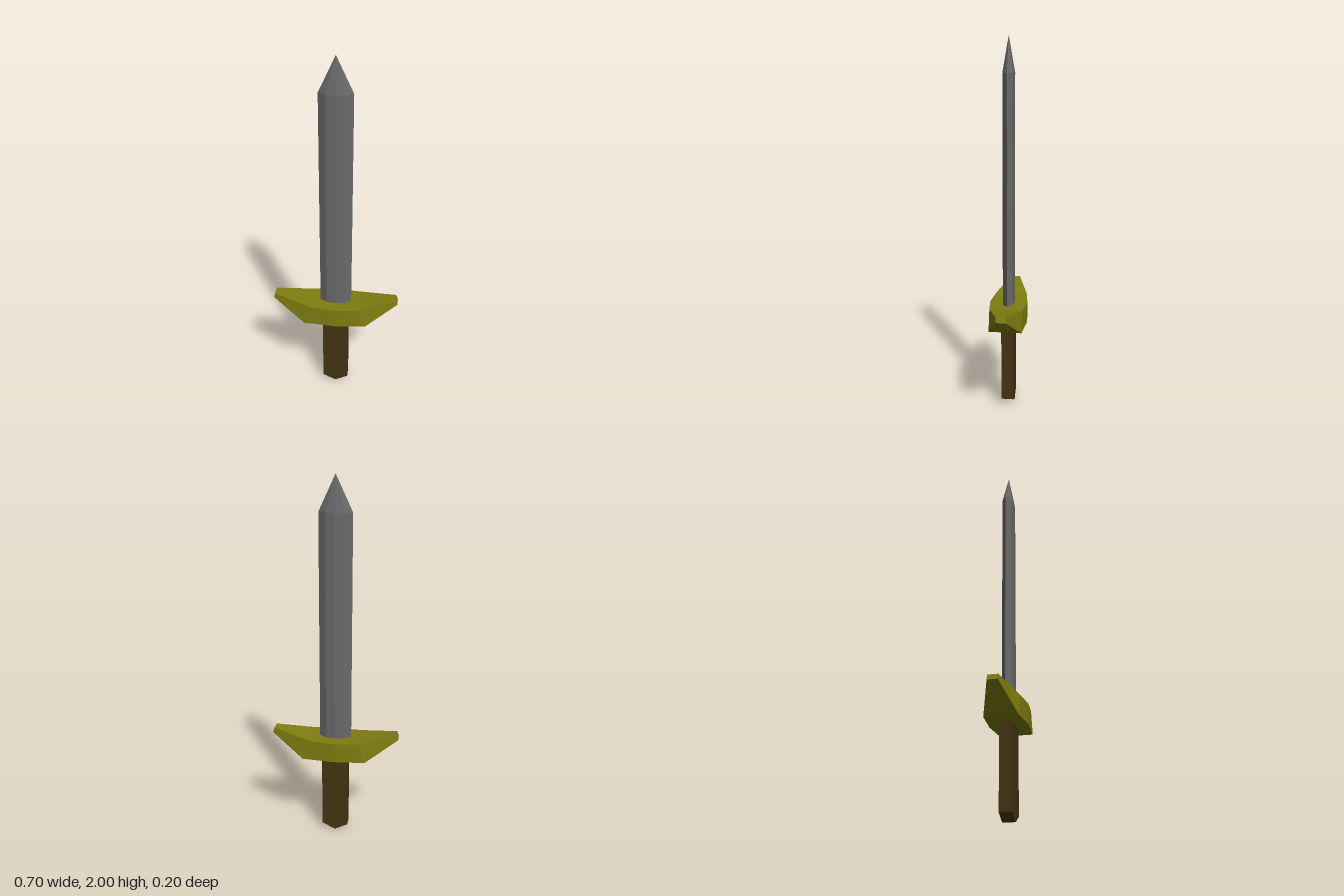
import * as THREE from 'three';

const steel = new THREE.MeshStandardMaterial({ name: 'steel', color: 0x6a6a6a, flatShading: true });
const brass = new THREE.MeshStandardMaterial({ name: 'brass', color: 0x7f7d10, flatShading: true });
const wood = new THREE.MeshStandardMaterial({ name: 'wood', color: 0x443312, flatShading: true });

// Joins rings of points (counter-clockwise about the loft direction) with flat faces and end caps
function loft(rings) {
  const pos = [];
  const tri = (a, b, c) => {
    const area = new THREE.Triangle(a, b, c).getArea();
    if (area > 1e-9) for (const p of [a, b, c]) pos.push(p.x, p.y, p.z);
  };
  const n = rings[0].length;
  for (let s = 0; s < rings.length - 1; s++) {
    for (let i = 0; i < n; i++) {
      const j = (i + 1) % n;
      const [a, b, c, d] = [rings[s][i], rings[s][j], rings[s + 1][j], rings[s + 1][i]];
      tri(a, b, c);
      tri(a, c, d);
    }
  }
  const first = rings[0], last = rings[rings.length - 1];
  for (let i = 1; i < n - 1; i++) {
    tri(first[0], first[i + 1], first[i]);
    tri(last[0], last[i], last[i + 1]);
  }
  const geo = new THREE.BufferGeometry();
  geo.setAttribute('position', new THREE.Float32BufferAttribute(pos, 3));
  geo.computeVertexNormals();
  return geo;
}

function addPart(group, name, geometry, material) {
  const mesh = new THREE.Mesh(geometry, material);
  mesh.name = name;
  group.add(mesh);
}

export function createModel() {
  const group = new THREE.Group();
  group.name = 'sword';

  // Blade: eight-sided lens section, tapering to a point
  const lens = [
    [0.087, 0], [0.05, -0.026], [0, -0.033], [-0.05, -0.026],
    [-0.087, 0], [-0.05, 0.026], [0, 0.033], [0.05, 0.026],
  ];
  const bladeRing = (y, scale) => lens.map(([x, z]) => new THREE.Vector3(x * scale, y, z * scale));
  addPart(group, 'blade', loft([bladeRing(0.56, 1), bladeRing(1.815, 1), bladeRing(2, 0)]), steel);

  // Crossguard: mirrored sections along x [bottom x, bottom y, top x, top y, bottom z, top z]
  const half = [
    [0, 0.475, 0, 0.585, 0.102, 0.102],
    [0.172, 0.475, 0.13, 0.587, 0.088, 0.089],
    [0.349, 0.597, 0.34, 0.625, 0.027, 0.027],
  ];
  const guardRing = ([bx, by, tx, ty, bz, tz], side) => [
    new THREE.Vector3(side * bx, by, -bz), new THREE.Vector3(side * tx, ty, -tz),
    new THREE.Vector3(side * tx, ty, tz), new THREE.Vector3(side * bx, by, bz),
  ];
  const guardRings = [
    guardRing(half[2], -1), guardRing(half[1], -1), guardRing(half[0], 1),
    guardRing(half[1], 1), guardRing(half[2], 1),
  ];
  addPart(group, 'crossguard', loft(guardRings), brass);

  // Grip: flat bar with a wedge-shaped end
  const outline = new THREE.Shape([
    [-0.072, 0.48], [-0.072, 0.037], [0, 0.004], [0.072, 0.037], [0.072, 0.48],
  ].map(([x, y]) => new THREE.Vector2(x, y === 0.004 ? 0 : y)));
  const grip = new THREE.ExtrudeGeometry(outline, { depth: 0.066, bevelEnabled: false });
  grip.translate(0, 0, -0.033);
  addPart(group, 'grip', grip, wood);

  return group;
}
